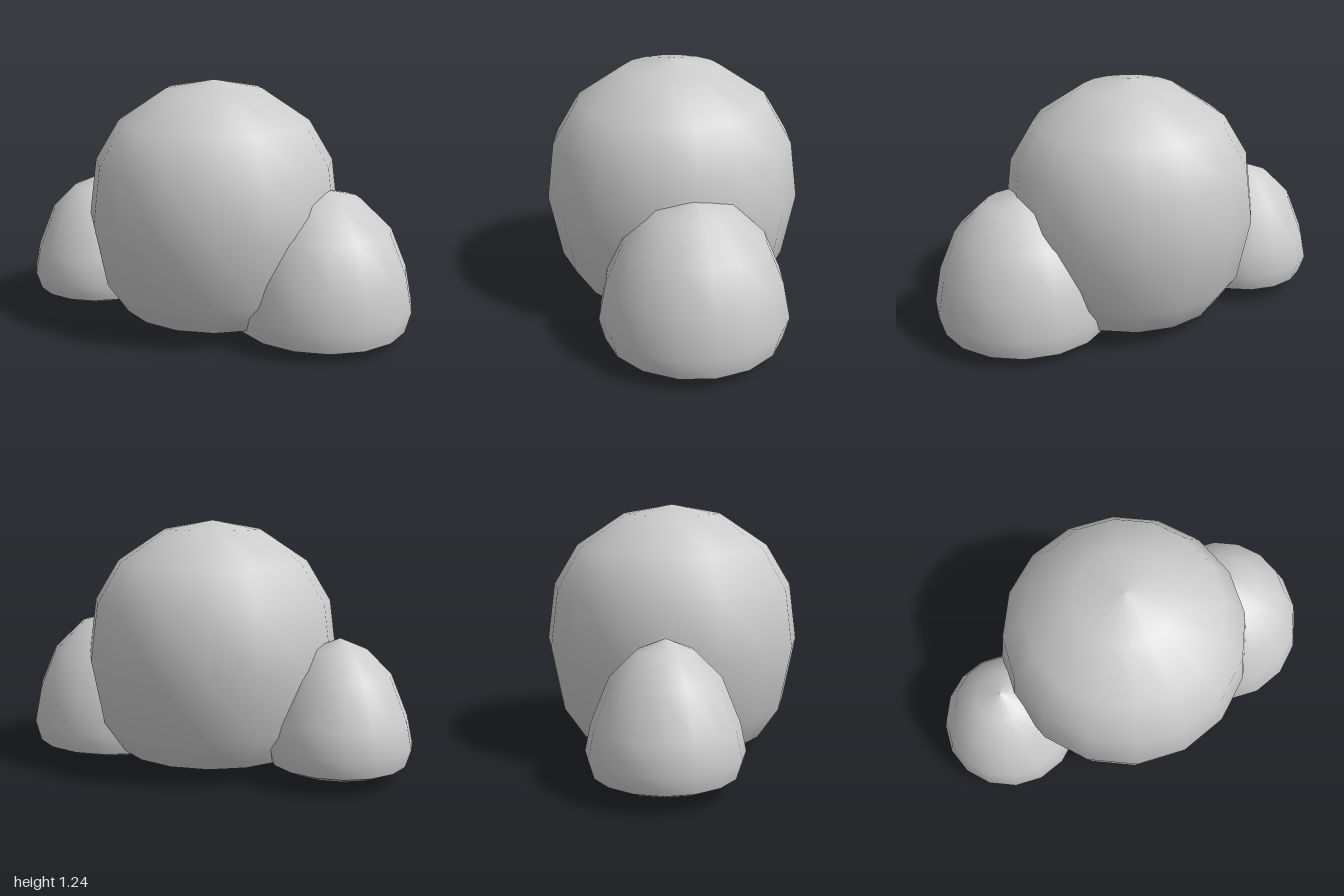
import * as THREE from 'three';
import { mergeGeometries } from 'three/addons/utils/BufferGeometryUtils.js';

const SIDES = 16;

// Profiles run from the bottom upwards as [radius, y].
function lathe(profile) {
  return new THREE.LatheGeometry(profile.map(([r, y]) => new THREE.Vector2(r, y)), SIDES);
}

// A rounded lump: smooth dome over a shallow base, with a sharp rim between them.
function makeLump(name, x, z, base, dome) {
  const material = new THREE.MeshStandardMaterial({ color: 0xcccccc });
  const mesh = new THREE.Mesh(mergeGeometries([lathe([...base, dome[0]]), lathe(dome)]), material);
  mesh.name = name;
  mesh.position.set(x, 0, z);
  return mesh;
}

export function createModel() {
  const group = new THREE.Group();
  group.name = 'boulderCluster';

  // Large middle lump
  group.add(makeLump('mainBoulder', 0.005, 0.01,
    [[0, 0.035], [0.28, 0.045]],
    [[0.47, 0.085], [0.575, 0.24], [0.637, 0.56], [0.6, 0.84], [0.48, 1.04], [0.24, 1.2], [0, 1.243]]));

  // Medium lump on the left, towards the back
  group.add(makeLump('leftBoulder', 0.552, -0.197,
    [[0, 0.003], [0.18, 0.01], [0.34, 0.032]],
    [[0.425, 0.063], [0.453, 0.17], [0.417, 0.35], [0.335, 0.545], [0.18, 0.695], [0, 0.738]]));

  // Small lump on the right, towards the front
  group.add(makeLump('rightBoulder', -0.64, 0.253,
    [[0, 0.04], [0.15, 0.045], [0.27, 0.062]],
    [[0.335, 0.092], [0.362, 0.18], [0.335, 0.31], [0.25, 0.52], [0.13, 0.64], [0, 0.693]]));

  return group;
}
